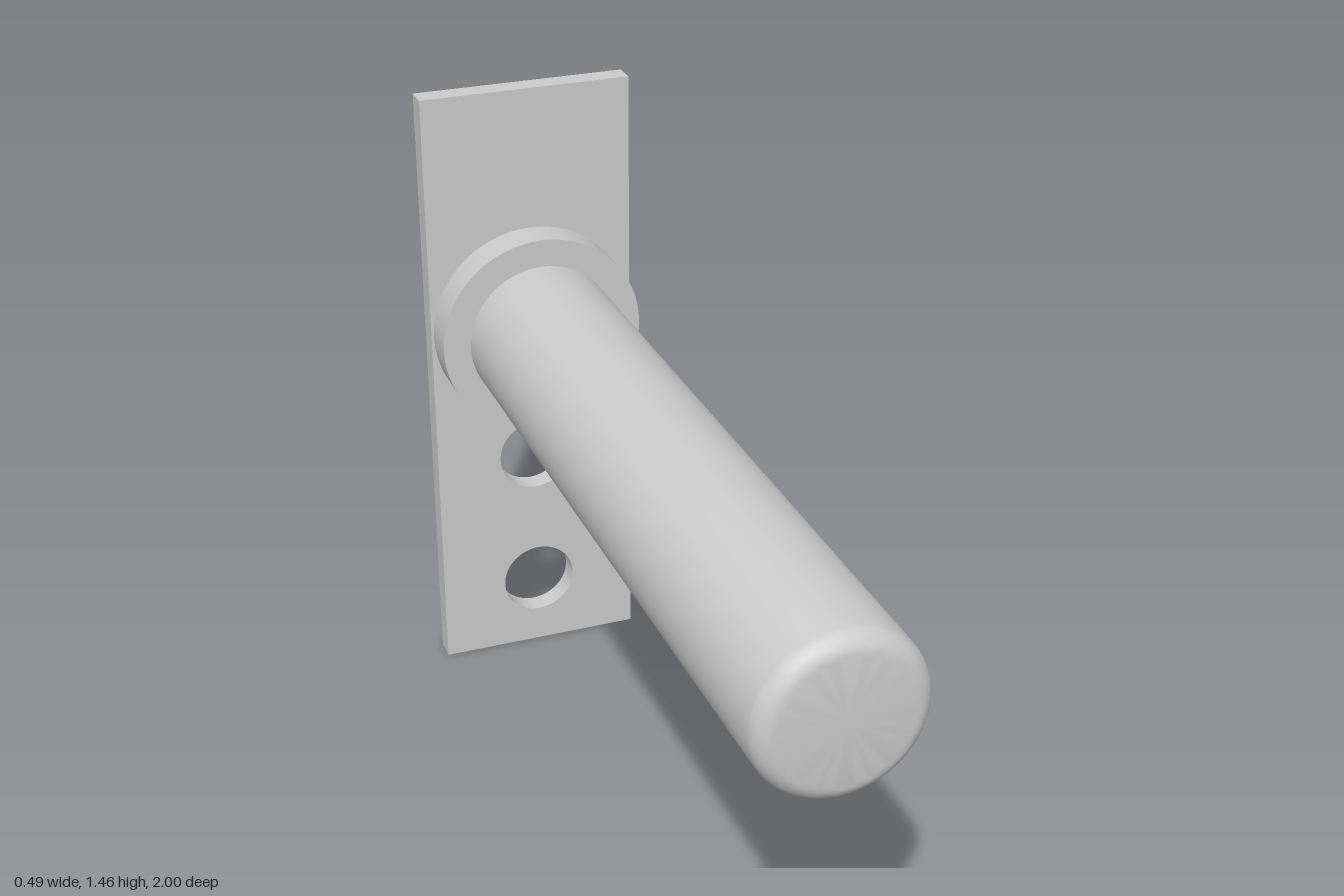
import * as THREE from 'three';
import { toCreasedNormals } from 'three/addons/utils/BufferGeometryUtils.js';

const PLATE_FRONT = -0.775, PLATE_BACK = -0.828, PEG_Y = 0.888;

export function createModel() {
  const group = new THREE.Group();
  const material = new THREE.MeshStandardMaterial({ color: 0xcccccc });

  function add(name, geometry, x, y, z) {
    const mesh = new THREE.Mesh(geometry, material);
    mesh.name = name;
    mesh.position.set(x, y, z);
    group.add(mesh);
  }

  // Mounting plate with two round holes
  const w = 0.247, h = 1.463;
  const plate = new THREE.Shape([
    new THREE.Vector2(-w, 0), new THREE.Vector2(w, 0),
    new THREE.Vector2(w, h), new THREE.Vector2(-w, h),
  ]);
  for (const y of [0.178, 0.533]) {
    plate.holes.push(new THREE.Path().absarc(0, y, 0.09, 0, Math.PI * 2, true));
  }
  const plateGeometry = new THREE.ExtrudeGeometry(plate, {
    depth: PLATE_FRONT - PLATE_BACK, bevelEnabled: false, curveSegments: 32,
  });
  add('mountingPlate', toCreasedNormals(plateGeometry, 0.5), 0, 0, PLATE_BACK);

  // Collar at the root of the peg
  const collarDepth = 0.085;
  const collar = new THREE.CylinderGeometry(0.241, 0.241, collarDepth, 64).rotateX(Math.PI / 2);
  add('collar', collar, 0, PEG_Y, PLATE_FRONT + collarDepth / 2);

  // Round peg with a filleted tip, turned to point forward
  const r = 0.176, fillet = 0.045, length = 1 - PLATE_FRONT;
  const profile = [new THREE.Vector2(0, 0), new THREE.Vector2(r, 0)];
  for (let i = 0; i <= 8; i++) {
    const a = (i / 8) * Math.PI / 2;
    profile.push(new THREE.Vector2(
      r - fillet + fillet * Math.cos(a), length - fillet + fillet * Math.sin(a)));
  }
  profile.push(new THREE.Vector2(0, length));
  const peg = new THREE.LatheGeometry(profile, 64).rotateX(Math.PI / 2);
  add('peg', toCreasedNormals(peg, 0.5), 0, PEG_Y, PLATE_FRONT);

  // Rear hook: L-shaped side profile (x = distance behind the plate) extruded across the width
  const reach = 1 + PLATE_BACK, hookWidth = 0.112;
  const hook = new THREE.Shape([
    new THREE.Vector2(0, 1.205), new THREE.Vector2(reach - 0.04, 1.205),
    new THREE.Vector2(reach - 0.04, 1.17), new THREE.Vector2(reach, 1.17),
    new THREE.Vector2(reach, 1.288), new THREE.Vector2(0, 1.288),
  ]);
  const hookGeometry = new THREE.ExtrudeGeometry(hook, { depth: hookWidth, bevelEnabled: false })
    .rotateY(Math.PI / 2);
  add('rearHook', hookGeometry, -hookWidth / 2, 0, PLATE_BACK);

  return group;
}
